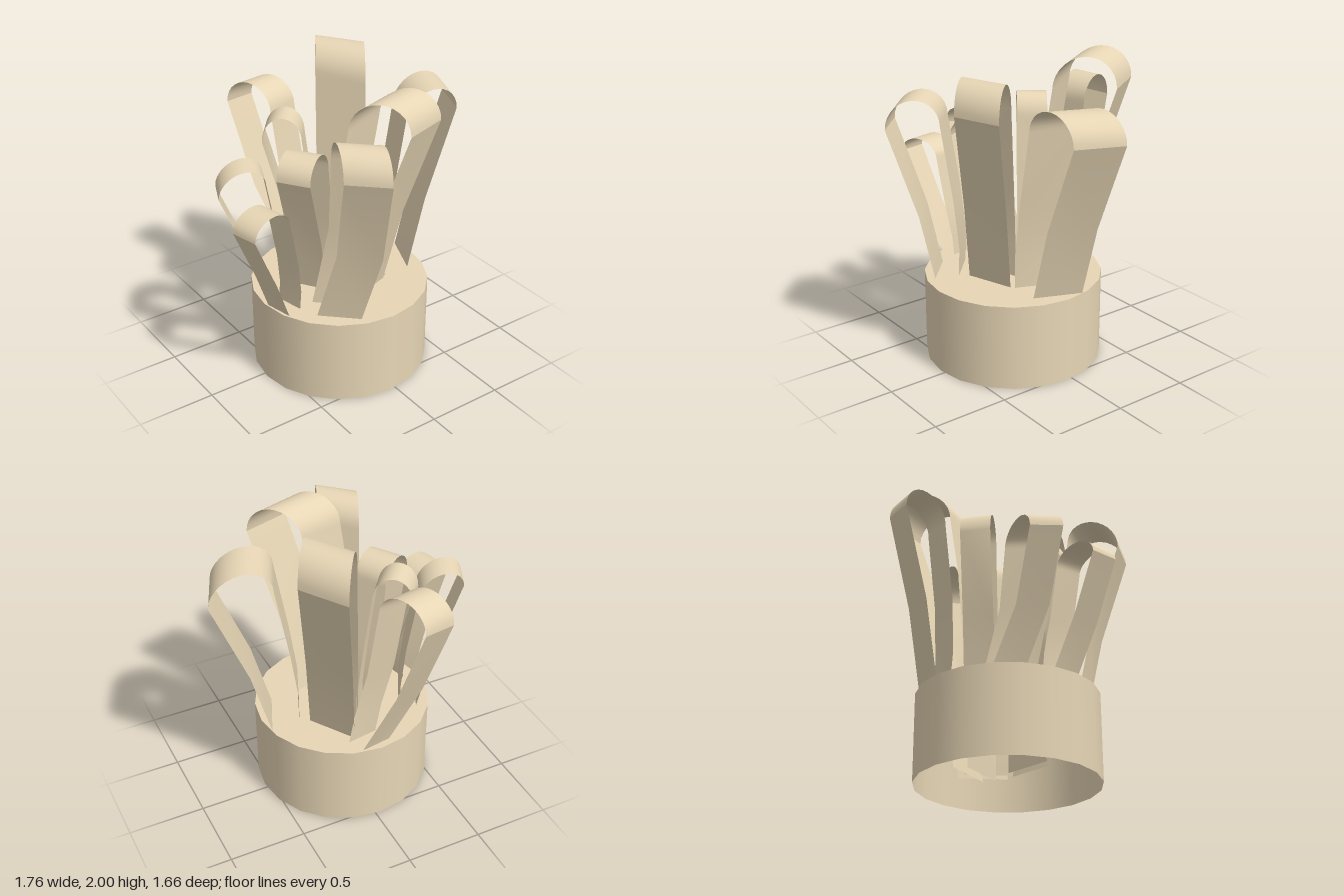
import * as THREE from 'three';
import { toCreasedNormals } from 'three/addons/utils/BufferGeometryUtils.js';

const CAP_Y = 0.56;

// Loop outline as (outward, up), unit sized: inner leg, rounded crown, outer leg
function loopProfile(gap) {
  const pts = [[0, -0.33], [0, 0.17], [0.09, 0.45]];
  const steps = 14;
  for (let i = 0; i <= steps; i++) {
    const a = Math.PI * (1 - i / steps);
    pts.push([0.628 + 0.372 * Math.cos(a), 0.86 + 0.14 * Math.sin(a)]);
  }
  pts.push([0.58, 0.385], [gap, 0], [gap - 0.19, -0.33]);
  return pts;
}

// Ribbon: the outline runs along `out`, is swept across `width`, and its lower half sways by `sway`;
// `gap` is the spacing of the two feet as a share of `out`
function ribbonGeometry({ foot, out, width, sway = [0, 0], gap = 0.345, top }) {
  const pos = [], index = [];
  loopProfile(gap).forEach(([u, v], i) => {
    const s = Math.min(v / 0.385, 1);
    const x = foot[0] + out[0] * u + sway[0] * s;
    const z = foot[1] + out[1] * u + sway[1] * s;
    const y = CAP_Y + (top - CAP_Y) * v;
    pos.push(x, y, z, x + width[0], y, z + width[1]);
    if (i > 0) {
      const k = 2 * i;
      index.push(k - 2, k - 1, k, k - 1, k + 1, k);
    }
  });
  const g = new THREE.BufferGeometry();
  g.setAttribute('position', new THREE.Float32BufferAttribute(pos, 3));
  g.setIndex(index);
  return toCreasedNormals(g, 0.36);
}

// Plan positions are (x, z)
const LOOPS = [
  { name: 'leftLoop', foot: [0.33, -0.09], out: [0.55, 0], width: [-0.12, 0.29], top: 1.78 },
  { name: 'frontLoop', foot: [0.07, 0.09], out: [0.34, 0.37], width: [-0.305, 0.1], top: 1.9 },
  { name: 'tallBackLoop', foot: [-0.02, -0.23], out: [0.29, -0.44], width: [0.18, 0.28], top: 2.0 },
  { name: 'backLoop', foot: [0.13, -0.405], out: [-0.175, -0.425], width: [-0.2, 0.03], sway: [-0.085, 0], gap: 0.25, top: 1.74 },
  { name: 'frontRightLoop', foot: [-0.15, 0.38], out: [-0.17, 0.41], width: [-0.2, -0.19], sway: [0.09, 0.04], top: 1.77 },
  { name: 'rightLoop', foot: [-0.39, -0.09], out: [-0.44, 0], width: [0.08, -0.18], sway: [-0.03, 0.075], gap: 0.27, top: 1.48 },
  { name: 'lowRightLoop', foot: [-0.455, 0.21], out: [-0.39, 0.11], width: [-0.04, -0.18], sway: [0.005, 0.03], gap: 0.25, top: 1.33 },
  { name: 'innerBackLoop', foot: [-0.13, -0.08], out: [-0.27, -0.19], width: [0.12, -0.15], top: 1.66 },
  { name: 'innerRightLoop', foot: [-0.08, 0.05], out: [-0.32, 0.21], width: [-0.12, -0.18], top: 1.55 },
];

export function createModel() {
  const group = new THREE.Group();
  const tan = new THREE.MeshStandardMaterial({ color: 0xe8d7b6, side: THREE.DoubleSide });
  tan.name = 'tan';
  const add = (name, geometry) => {
    const mesh = new THREE.Mesh(geometry, tan);
    mesh.name = name;
    group.add(mesh);
    return mesh;
  };

  // Hollow drum, open underneath
  add('baseWall', new THREE.CylinderGeometry(0.574, 0.574, CAP_Y, 20, 1, true))
    .position.set(-0.032, CAP_Y / 2, 0.034);
  add('baseTop', new THREE.CircleGeometry(0.574, 20).rotateX(-Math.PI / 2))
    .position.set(-0.032, CAP_Y, 0.034);

  // Ribbon loops standing through the drum top
  for (const loop of LOOPS) add(loop.name, ribbonGeometry(loop));
  return group;
}
